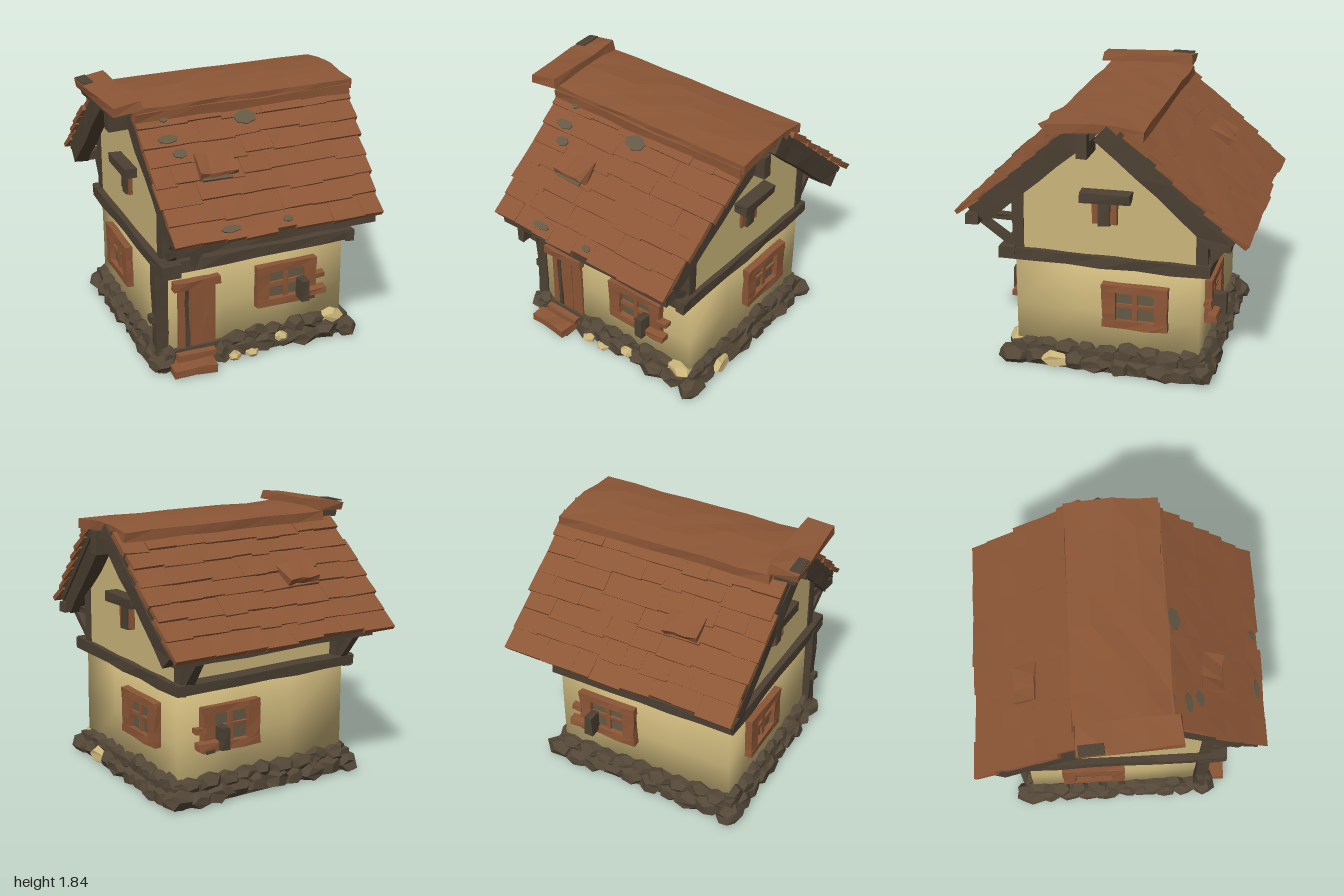
import * as THREE from 'three';
import { mergeVertices } from 'three/addons/utils/BufferGeometryUtils.js';

const paint = (name, color) => {
  const m = new THREE.MeshStandardMaterial({ color });
  m.name = name;
  return m;
};

// seeded random numbers
let seed = 7;
const rnd = () => {
  seed = (seed * 16807) % 2147483647;
  return seed / 2147483647;
};
const vary = (a) => (rnd() * 2 - 1) * a;

// nudge shared corners together, then facet
function rough(geo, amount) {
  const moved = new Map();
  const p = geo.attributes.position;
  for (let i = 0; i < p.count; i++) {
    const key = [p.getX(i), p.getY(i), p.getZ(i)].map((v) => Math.round(v * 1000)).join();
    if (!moved.has(key)) moved.set(key, [vary(amount), vary(amount), vary(amount)]);
    const d = moved.get(key);
    p.setXYZ(i, p.getX(i) + d[0], p.getY(i) + d[1], p.getZ(i) + d[2]);
  }
  const flat = geo.index ? geo.toNonIndexed() : geo;
  flat.computeVertexNormals();
  return flat;
}

// share vertices so the shading runs softly round the corners
function soften(geo) {
  geo.deleteAttribute('normal');
  geo.deleteAttribute('uv');
  const soft = mergeVertices(geo, 0.001);
  soft.computeVertexNormals();
  return soft;
}

export function createModel() {
  seed = 7;
  const plaster = paint('plaster', 0xcab57a);
  const timber = paint('dark timber', 0x4d4133);
  const wood = paint('red brown wood', 0x8c5636);
  const stone = paint('stone', 0x534737);
  const pane = paint('grey pane', 0x645945);

  const house = new THREE.Group();
  house.name = 'cottage';

  const group = (name, parent = house) => {
    const g = new THREE.Group();
    g.name = name;
    parent.add(g);
    return g;
  };
  const add = (name, geo, mat, parent) => {
    const m = new THREE.Mesh(geo, mat);
    m.name = name;
    parent.add(m);
    return m;
  };
  const box = (name, mat, size, pos, parent = house, jitter = 0.006, seg = [1, 1, 1]) => {
    const m = add(name, rough(new THREE.BoxGeometry(...size, ...seg), jitter), mat, parent);
    m.position.set(...pos);
    return m;
  };
  // box given by its limits on each axis
  const span = (name, mat, [x0, x1], [y0, y1], [z0, z1], parent, jitter, seg) =>
    box(name, mat, [x1 - x0, y1 - y0, z1 - z0], [(x0 + x1) / 2, (y0 + y1) / 2, (z0 + z1) / 2], parent, jitter, seg);

  // walls: soft-edged ground floor and gabled upper floor
  const ground = span('groundFloorWalls', plaster, [-0.63, 0.685], [0.02, 0.82], [-0.65, 0.6], house, 0.004, [3, 2, 3]);
  ground.geometry = soften(ground.geometry);
  const gable = new THREE.Shape([
    [0.54, 0.78], [0.54, 1.36], [0.15, 1.73], [-0.15, 1.73], [-0.63, 1.27], [-0.63, 0.78],
  ].map(([z, y]) => new THREE.Vector2(z, y)));
  const upper = add('upperFloorWalls', new THREE.ExtrudeGeometry(gable, { depth: 1.31, bevelEnabled: false }), plaster, house);
  upper.rotation.y = -Math.PI / 2;
  upper.position.x = 0.68;

  // timber frame
  const frame = group('timberFrame');
  const long = [6, 1, 1];
  span('frontBeam', timber, [-0.67, 0.715], [0.765, 0.84], [0.6, 0.7], frame, 0.006, long);
  span('backBeam', timber, [-0.67, 0.715], [0.765, 0.84], [-0.72, -0.62], frame, 0.006, long);
  span('beamEnd', timber, [-0.68, -0.55], [0.75, 0.845], [0.6, 0.73], frame);
  span('rightBeam', timber, [0.65, 0.715], [0.76, 0.835], [-0.7, 0.71], frame, 0.006, [1, 1, 6]);
  span('leftBeam', timber, [-0.68, -0.6], [0.76, 0.835], [-0.7, 0.71], frame, 0.006, [1, 1, 6]);
  span('cornerPost', timber, [-0.685, -0.6], [0.12, 0.8], [0.53, 0.612], frame, 0.005, [1, 4, 1]);
  span('postKnot', timber, [-0.72, -0.67], [0.37, 0.42], [0.54, 0.6], frame);
  span('frontEavePlate', timber, [-0.65, 0.74], [0.99, 1.06], [0.83, 0.92], frame, 0.006, long);
  span('backEavePlate', timber, [-0.72, 0.8], [1.0, 1.07], [-0.86, -0.78], frame, 0.006, long);
  span('eaveBracket', timber, [-0.53, -0.47], [0.9, 1.02], [0.84, 0.92], frame);
  span('ridgeBeam', timber, [-0.8, 0.88], [1.56, 1.72], [0.04, 0.115], frame, 0.005, long);
  for (const x of [-0.59, 0.635]) {
    span('eaveTie', timber, [x - 0.03, x + 0.03], [1.01, 1.05], [0.56, 0.88], frame);
    for (const [z, out, to] of [[0.575, 1, 0.88], [-0.655, -1, -0.83]]) {
      box('upperPost', timber, [0.1, 0.44, 0.08], [x, 1.04, z], frame);
      // slanted brace from the post out to the eave
      const run = Math.abs(to - z) - 0.05;
      const brace = box('brace', timber, [0.055, 0.045, Math.hypot(run, 0.17)], [x, 0.935, to - out * run / 2], frame);
      brace.rotation.x = -out * Math.atan2(0.17, run);
    }
  }

  // roof slopes, each in a frame with x across, y outward and z down the slope
  const tilt = 0.725, start = 0.3, pitch = 0.139, rows = 7, lift = 0.09;
  function slope(name, turn, left, right, humpX, rafterInset) {
    const outer = group(name);
    outer.position.y = 1.94;
    outer.rotation.y = turn;
    const inner = group('slopeFrame', outer);
    inner.rotation.x = tilt;
    const edge = ([top, low], s) => top + (low - top) * (s - start);

    // boarding below the tiles follows the tapering edges
    const geo = new THREE.BoxGeometry(1, 0.04, 0.98);
    const p = geo.attributes.position;
    for (let i = 0; i < p.count; i++) {
      const s = p.getZ(i) + 0.74;
      p.setX(i, p.getX(i) < 0 ? edge(left, s) + 0.01 : edge(right, s) - 0.01);
    }
    add('roofBoards', rough(geo, 0), timber, inner).position.set(0, -0.05, 0.74);

    // rafters under both gable ends
    for (const [e, k] of [[left, 1], [right, -1]]) {
      const rafter = box('rafter', timber, [0.1, 0.115, 1.05], [(e[0] + e[1]) / 2 + k * rafterInset, -0.125, 0.69], inner, 0.006, [1, 1, 6]);
      rafter.rotation.y = Math.atan2(e[1] - e[0], 1);
    }
    // overlapping rows of uneven tiles
    for (let r = 0; r < rows; r++) {
      const s = start + (r + 0.5) * pitch;
      const end = edge(right, s) + vary(0.015);
      let x = edge(left, s) + vary(0.015);
      while (x < end - 0.01) {
        let w = 0.13 + rnd() * 0.17;
        if (end - x - w < 0.1) w = end - x;
        const tile = box('roofTile', wood, [w + 0.008, 0.034, 0.19], [x + w / 2, -0.011 + vary(0.002), s + vary(0.016)], inner, 0.004);
        tile.rotation.x = -lift;
        x += w;
      }
    }
    const hump = box('raisedTile', wood, [0.25, 0.05, 0.17], [humpX, 0.02, 0.79], inner, 0.012, [3, 1, 1]);
    hump.rotation.x = -0.25;
    return inner;
  }
  const front = slope('frontRoof', 0, [-0.7, -0.67], [0.84, 0.74], -0.26, 0.065);
  slope('backRoof', Math.PI, [-0.88, -0.87], [0.81, 0.79], 0.27, 0.055);

  // worn grey patches on the front slope
  for (const [x, s, w, h] of [[0.05, 0.48, 0.08, 0.055], [-0.5, 0.41, 0.03, 0.03], [-0.51, 0.56, 0.07, 0.032],
    [-0.46, 0.67, 0.05, 0.035], [-0.29, 1.23, 0.07, 0.025], [0.1, 1.23, 0.035, 0.022]]) {
    const mid = start + (Math.floor((s - start) / pitch) + 0.5) * pitch;
    const patch = add('wornPatch', new THREE.CylinderGeometry(1, 1, 0.009, 7), pane, front);
    patch.scale.set(w, 1, h);
    patch.position.set(x, 0.014 + (s - mid) * lift, s);
    patch.rotation.x = -lift;
  }
  box('liftedTileGap', pane, [0.2, 0.035, 0.03], [-0.27, 0.012, 0.875], front, 0.004);

  // ridge cap, drooping a little to both sides, and its loose end board
  const cap = group('ridgeCap');
  const capGeo = new THREE.BoxGeometry(1.56, 0.06, 0.62, 7, 1, 4);
  const cp = capGeo.attributes.position;
  for (let i = 0; i < cp.count; i++) cp.setY(i, cp.getY(i) - 0.25 * cp.getZ(i) ** 2);
  add('capBoard', rough(capGeo, 0.006), wood, cap).position.set(0.08, 1.755, 0);
  span('capFrontLip', wood, [-0.69, 0.84], [1.67, 1.73], [0.26, 0.325], cap, 0.008, [7, 1, 1]);
  const loose = box('looseEndBoard', wood, [0.2, 0.06, 0.66], [-0.77, 1.795, 0.035], cap, 0.01, [1, 1, 3]);
  loose.rotation.set(0, 0.07, 0.1);
  const support = box('looseBoardSupport', timber, [0.15, 0.05, 0.56], [-0.77, 1.74, 0.02], cap);
  support.rotation.set(0, 0.07, 0.1);
  box('wornEnd', timber, [0.07, 0.008, 0.16], [-0.065, 0.037, -0.24], loose, 0.002);

  // framed four-pane windows; shutter is -1 or 1 for the side of the broken shutter
  function windowAt(name, pos, turn, shutter) {
    const g = group(name);
    g.position.set(...pos);
    g.rotation.y = turn;
    box('panes', pane, [0.32, 0.26, 0.008], [0, 0, 0.005], g, 0);
    for (const k of [-1, 1]) {
      box('frameSide', wood, [0.09, 0.3, 0.05], [k * 0.175, 0, 0.02], g, 0.005, [1, 3, 1]);
      box('frameRail', wood, [0.44, 0.055, 0.055], [0, k * 0.128, 0.02], g, 0.005, [3, 1, 1]);
    }
    box('uprightBar', wood, [0.035, 0.24, 0.03], [0, 0, 0.012], g, 0.003);
    box('crossBar', wood, [0.3, 0.032, 0.03], [0, 0, 0.01], g, 0.003);
    if (!shutter) return;
    box('shutterPiece', timber, [0.06, 0.15, 0.1], [shutter * 0.1, -0.05, 0.08], g);
    box('hingeBoard', wood, [0.18, 0.045, 0.06], [shutter * 0.19, -0.09, 0.06], g);
    box('hingeStub', wood, [0.08, 0.035, 0.05], [shutter * 0.24, 0.01, 0.03], g);
    box('wornCorner', timber, [0.07, 0.05, 0.008], [shutter * 0.17, -0.13, 0.052], g, 0.002);
  }
  const quarter = Math.PI / 2;
  windowAt('frontWindow', [0.25, 0.5, 0.605], 0, 1);
  windowAt('backWindow', [0.3, 0.5, -0.655], Math.PI, -1);
  windowAt('rightWindow', [0.69, 0.5, -0.225], quarter, 0);
  windowAt('leftWindow', [-0.635, 0.5, -0.2], -quarter, 0);

  // slim attic openings with a heavy lintel
  for (const k of [-1, 1]) {
    const g = group('atticWindow');
    g.position.set(k > 0 ? 0.68 : -0.63, 1.16, -0.02);
    g.rotation.y = k * quarter;
    box('lintel', timber, [0.33, 0.07, 0.11], [0.015, 0.105, 0.035], g);
    for (const j of [-1, 1]) box('jamb', wood, [0.045, 0.17, 0.03], [j * 0.06, -0.01, 0.008], g);
    box('post', timber, [0.08, 0.18, 0.05], [0, -0.015, 0.01], g);
  }

  // plank door set into the wall, with lintel and step
  const door = group('door');
  for (let i = 0; i < 3; i++) box('plank', wood, [0.085, 0.52, 0.05], [-0.48 + i * 0.085, 0.36, 0.585 + (i % 2) * 0.006], door, 0.003, [1, 3, 1]);
  for (const x of [-0.505, -0.285]) box('jamb', wood, [0.045, 0.52, 0.08], [x, 0.36, 0.575], door, 0.004);
  box('darkStrip', timber, [0.03, 0.46, 0.03], [-0.465, 0.37, 0.605], door, 0.005, [1, 4, 1]);
  box('lintel', wood, [0.33, 0.055, 0.12], [-0.405, 0.63, 0.595], door, 0.006, [3, 1, 1]);
  box('threshold', wood, [0.27, 0.05, 0.14], [-0.42, 0.1, 0.61], door);
  const step = box('step', wood, [0.31, 0.06, 0.18], [-0.46, 0.05, 0.69], door, 0.008, [3, 1, 1]);
  step.rotation.y = -0.06;
  box('stepBase', timber, [0.25, 0.05, 0.14], [-0.44, 0.025, 0.67], door, 0);

  // rubble footing: two courses of broad stones round the walls
  const footing = group('footing');
  span('footingBase', stone, [-0.68, 0.74], [0, 0.15], [-0.7, 0.63], footing, 0);
  const rock = (mat, x, y, z, sx, sy, sz) => {
    const geo = rough(new THREE.DodecahedronGeometry(1), 0.1);
    geo.rotateY(rnd() * 6).scale(sx, sy, sz).translate(x, y, z);
    const p = geo.attributes.position;
    for (let i = 0; i < p.count; i++) p.setY(i, Math.max(0, p.getY(i)));
    geo.computeVertexNormals();
    add('footingStone', geo, mat, footing);
  };
  const corners = [[-0.65, 0.61], [0.71, 0.61], [0.71, -0.68], [-0.65, -0.68]];
  corners.forEach(([x0, z0], side) => {
    const [x1, z1] = corners[(side + 1) % 4];
    const alongX = side % 2 === 0;
    for (const [n, y, r, inset] of [[9, 0.055, 0.083, 0], [9, 0.14, 0.07, 0.025]]) {
      for (let i = 0; i < n; i++) {
        const t = (i + (inset ? 0.5 : 0)) / n;
        const x = (x0 + (x1 - x0) * t - 0.03) * (1 - inset) + 0.03 + vary(0.012);
        const z = (z0 + (z1 - z0) * t + 0.035) * (1 - inset) - 0.035 + vary(0.012);
        if (side === 0 && x > -0.57 && x < -0.21) continue;
        const mat = rnd() < 0.03 ? plaster : stone;
        const a = r * (1.4 + vary(0.25)), b = r * (1 + vary(0.1));
        rock(mat, x, y + vary(0.016), z, alongX ? a : b, r * 0.95, alongX ? b : a);
      }
    }
  });
  // stones beside the door, and pale rubble by the front wall
  rock(stone, -0.22, 0.07, 0.62, 0.06, 0.08, 0.07);
  rock(stone, -0.61, 0.1, 0.61, 0.07, 0.09, 0.07);
  for (const [x, y] of [[-0.15, 0.04], [-0.02, 0.04], [0.2, 0.11]]) rock(plaster, x, y, 0.68, 0.05, 0.035, 0.04);

  return house;
}
